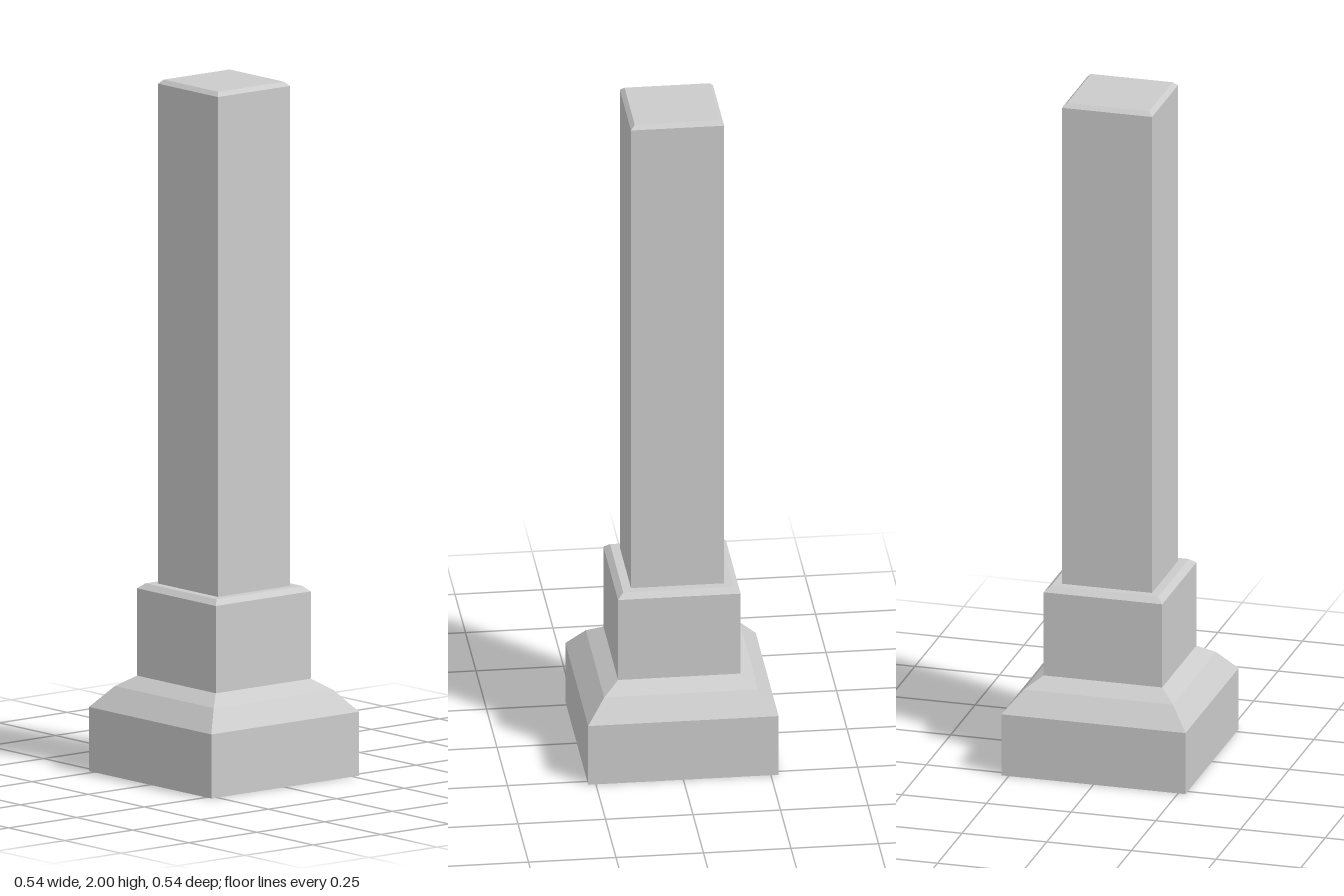
import * as THREE from 'three';

const material = new THREE.MeshStandardMaterial({ color: 0xcccccc, flatShading: true });

// Square-plan solid from a profile of [half width, height] pairs, bottom to top
function squareTier(name, profile) {
  const points = profile.map(([half, y]) => new THREE.Vector2(half * Math.SQRT2, y));
  const mesh = new THREE.Mesh(new THREE.LatheGeometry(points, 4, Math.PI / 4), material);
  mesh.name = name;
  return mesh;
}

export function createModel() {
  const model = new THREE.Group();
  model.name = 'squarePillar';

  model.add(
    // Block at the foot
    squareTier('plinth', [[0, 0], [0.272, 0], [0.272, 0.185]]),
    // Two-facet slope from plinth to pedestal
    squareTier('moulding', [[0.272, 0.185], [0.22, 0.247], [0.175, 0.278]]),
    // Pedestal with chamfered top edge
    squareTier('pedestal', [[0.175, 0.278], [0.175, 0.53], [0.158, 0.545], [0.133, 0.545]]),
    // Tall shaft with chamfered top edge
    squareTier('shaft', [[0.133, 0.545], [0.133, 1.988], [0.121, 2], [0, 2]]),
  );
  return model;
}
